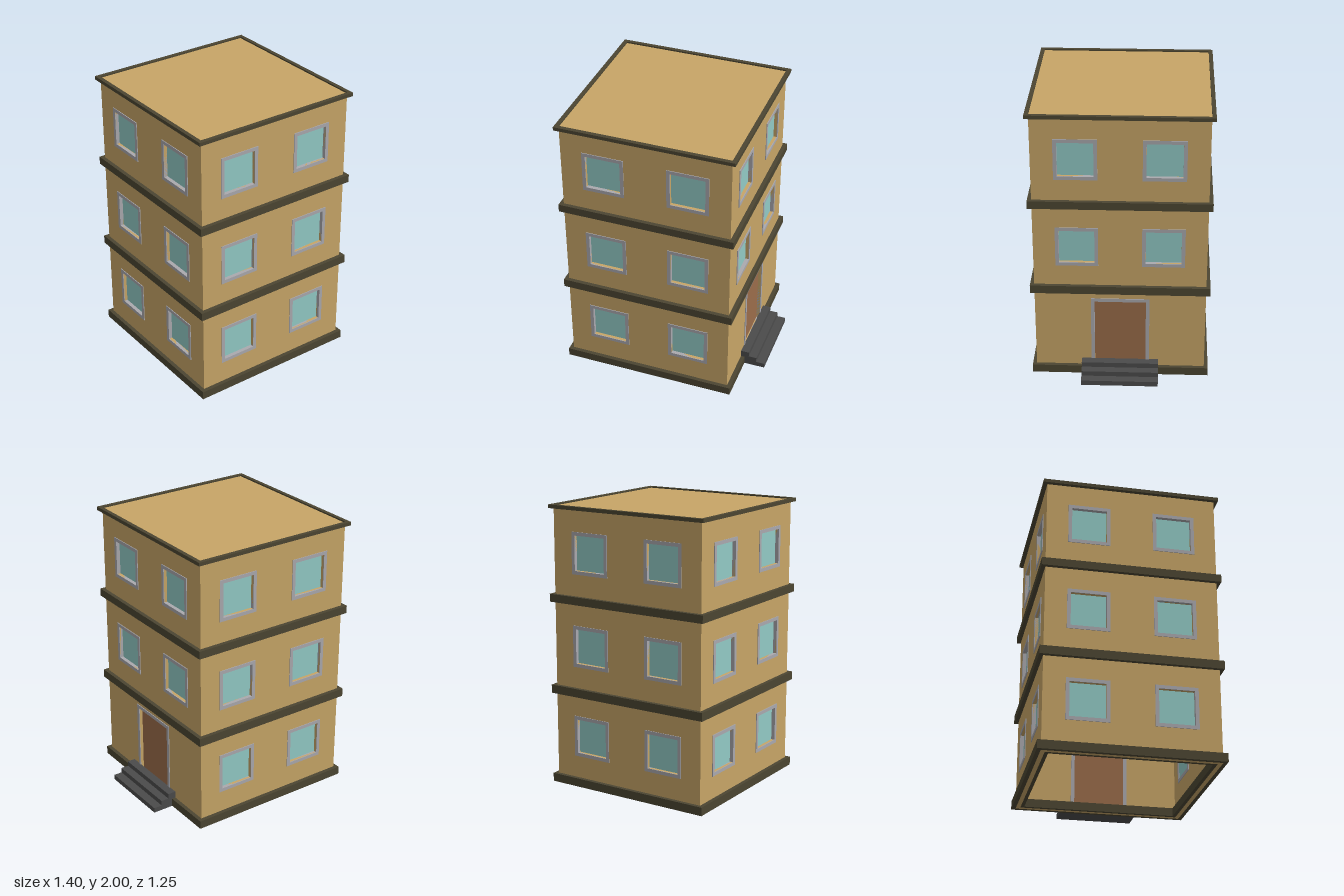
import * as THREE from 'three';

const HALF = 0.598;   // half the side of the square block
const WALL = 0.03;    // wall thickness
const ROOF = 1.99;
const CENTRE_X = -0.0775;

const paint = (color) => new THREE.MeshStandardMaterial({ color, side: THREE.DoubleSide });

function rectangle(Type, cx, cy, w, h) {
  const p = new Type();
  p.moveTo(cx - w / 2, cy - h / 2);
  p.lineTo(cx + w / 2, cy - h / 2);
  p.lineTo(cx + w / 2, cy + h / 2);
  p.lineTo(cx - w / 2, cy + h / 2);
  p.closePath();
  return p;
}

function addMesh(parent, name, geometry, material) {
  const mesh = new THREE.Mesh(geometry, material);
  mesh.name = name;
  parent.add(mesh);
  return mesh;
}

function extrude(shape, depth) {
  return new THREE.ExtrudeGeometry(shape, { depth, bevelEnabled: false });
}

export function createModel() {
  const wallPaint = paint(0xc7a567);
  const trimPaint = paint(0x4c4632);
  const framePaint = paint(0xaaa9ae);
  const glassPaint = paint(0x92cac5);
  const doorPaint = paint(0x9a6c4a);
  const stepPaint = paint(0x4b4b4b);

  const model = new THREE.Group();
  model.name = 'building';
  const block = new THREE.Group();
  block.name = 'block';
  block.position.x = CENTRE_X;
  model.add(block);

  // Framed opening with a recessed panel; the outside is at z = 0
  function addOpening(side, name, o, panelPaint) {
    const group = new THREE.Group();
    group.name = name;
    group.position.set(o.x, o.y, 0);
    side.add(group);
    const frame = rectangle(THREE.Shape, 0, 0, o.w + 0.05, o.h + 0.05);
    frame.holes.push(rectangle(THREE.Path, 0, 0, o.w, o.h));
    addMesh(group, name + 'Frame', extrude(frame, WALL + 0.01), framePaint).position.z = -WALL - 0.005;
    addMesh(group, name + 'Panel', new THREE.BoxGeometry(o.w, o.h, 0.008), panelPaint).position.z = -0.026;
  }

  // Four walls: front, right (with the door), back, left
  ['front', 'right', 'back', 'left'].forEach((label, i) => {
    const side = new THREE.Group();
    side.name = label + 'Side';
    side.rotation.y = i * Math.PI / 2;
    side.position.set(Math.sin(side.rotation.y) * HALF, 0, Math.cos(side.rotation.y) * HALF);
    block.add(side);

    const hasDoor = label === 'right';
    const windows = [];
    [0.367, 1.02, 1.677].forEach((y, floor) => {
      if (hasDoor && floor === 0) return;
      for (const x of [-0.298, 0.298]) windows.push({ x, y, w: 0.245, h: 0.245 });
    });
    const door = { x: 0, y: 0.325, w: 0.36, h: 0.52 };

    // Neighbouring walls meet without overlapping
    const width = 2 * (HALF - (i % 2 ? WALL : 0));
    const wall = rectangle(THREE.Shape, 0, ROOF / 2, width, ROOF);
    for (const o of hasDoor ? [...windows, door] : windows) {
      wall.holes.push(rectangle(THREE.Path, o.x, o.y, o.w, o.h));
    }
    addMesh(side, label + 'Wall', extrude(wall, WALL), wallPaint).position.z = -WALL;
    windows.forEach((o) => addOpening(side, 'window', o, glassPaint));
    if (hasDoor) addOpening(side, 'door', door, doorPaint);
  });

  // Roof slab
  const inner = 2 * (HALF - WALL);
  addMesh(block, 'roof', new THREE.BoxGeometry(inner, 0.02, inner), wallPaint).position.y = ROOF - 0.01;

  // Square ring between two half widths
  function addRing(name, outer, innerHalf, y0, y1) {
    const ring = rectangle(THREE.Shape, 0, 0, 2 * outer, 2 * outer);
    ring.holes.push(rectangle(THREE.Path, 0, 0, 2 * innerHalf, 2 * innerHalf));
    const mesh = addMesh(block, name, extrude(ring, y1 - y0), trimPaint);
    mesh.rotation.x = -Math.PI / 2;
    mesh.position.y = y0;
  }

  // Trim bands outside and inside the walls at each floor, and the roof edge
  for (const [y0, y1] of [[0, 0.06], [0.66, 0.72], [1.32, 1.376]]) {
    addRing('outerBand', HALF + 0.028, HALF, y0, y1);
    addRing('innerBand', HALF - WALL, HALF - WALL - 0.025, y0, y1);
  }
  addRing('roofEdge', HALF + 0.028, HALF, 1.975, 2);

  // Entrance steps
  const steps = new THREE.Group();
  steps.name = 'steps';
  model.add(steps);
  const start = CENTRE_X + HALF;
  [0.7, 0.638, 0.58].forEach((end, i) => {
    const step = addMesh(steps, 'step', new THREE.BoxGeometry(end - start, 0.0367, 0.544), stepPaint);
    step.position.set((start + end) / 2, 0.0367 * (i + 0.5), 0);
  });

  return model;
}
